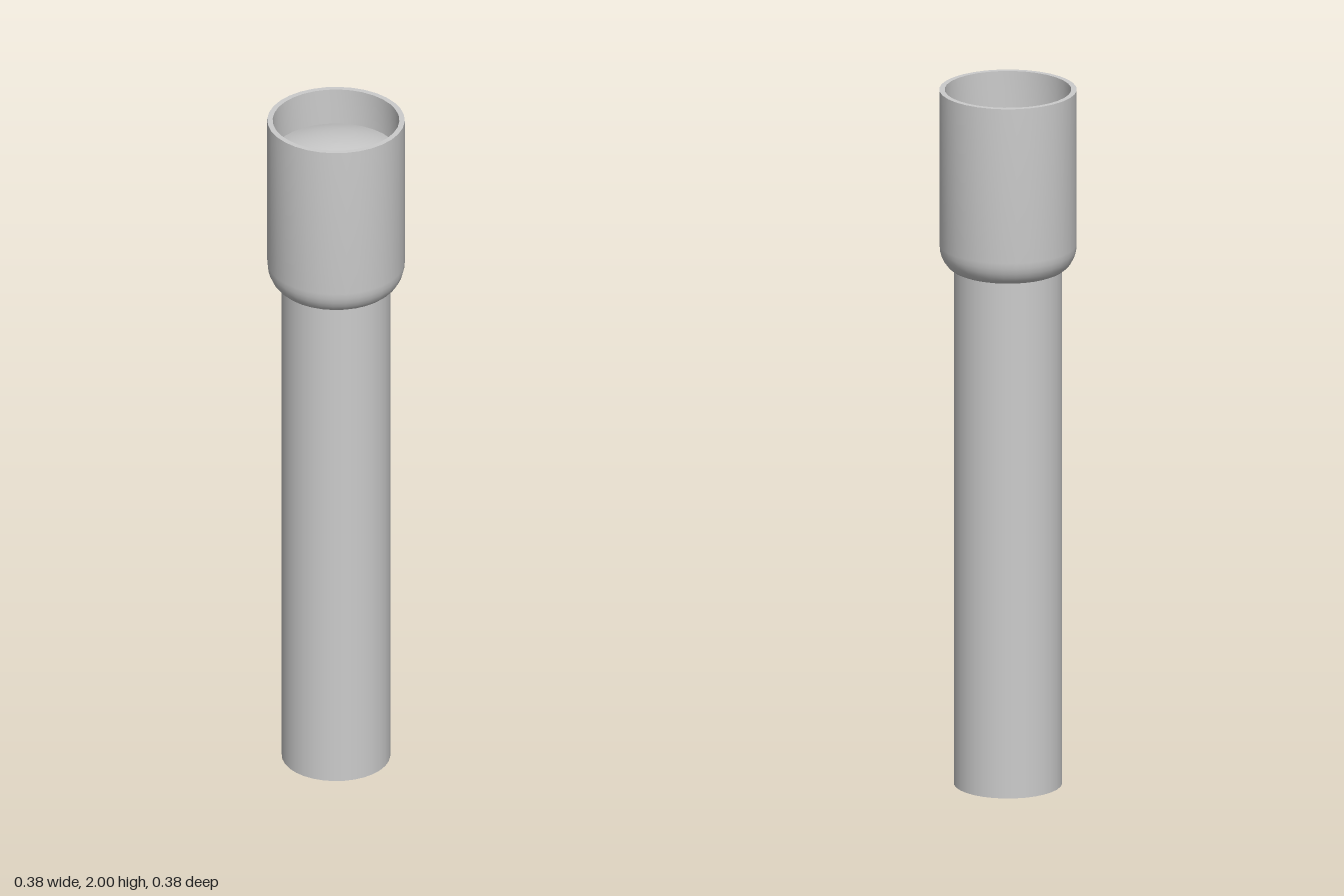
import * as THREE from 'three';
import { toCreasedNormals } from 'three/addons/utils/BufferGeometryUtils.js';

const SIDES = 32;

export function createModel() {
  const group = new THREE.Group();
  const material = new THREE.MeshStandardMaterial({ color: 0xcccccc });
  const add = (name, geometry) => {
    const mesh = new THREE.Mesh(geometry, material);
    mesh.name = name;
    group.add(mesh);
    return mesh;
  };

  // Straight handle with closed ends
  const handleHeight = 1.5;
  add('handle', new THREE.CylinderGeometry(0.15, 0.15, handleHeight, SIDES)).position.y = handleHeight / 2;

  // Hollow head: rounded shoulder, outer wall, flat rim, inner wall down to the lens
  const lensRadius = 0.175, lensEdge = 1.893;
  const shoulder = new THREE.CubicBezierCurve(
    new THREE.Vector2(0.15, 1.485), new THREE.Vector2(0.17, 1.49),
    new THREE.Vector2(0.19, 1.52), new THREE.Vector2(0.19, 1.555));
  const profile = [
    ...shoulder.getPoints(6),
    new THREE.Vector2(0.19, 2),
    new THREE.Vector2(lensRadius, 2),
    new THREE.Vector2(lensRadius, lensEdge - 0.02),
  ];
  add('head', toCreasedNormals(new THREE.LatheGeometry(profile, SIDES), 0.6));

  // Shallow domed lens, a spherical cap set inside the head
  const edgeAngle = 0.39, sphereRadius = lensRadius / Math.sin(edgeAngle), rings = 8;
  const cap = [];
  for (let i = 0; i <= rings; i++) {
    const a = edgeAngle * (1 - i / rings);
    cap.push(new THREE.Vector2(
      sphereRadius * Math.sin(a),
      lensEdge + sphereRadius * (Math.cos(a) - Math.cos(edgeAngle))));
  }
  add('lens', new THREE.LatheGeometry(cap, SIDES));

  return group;
}
